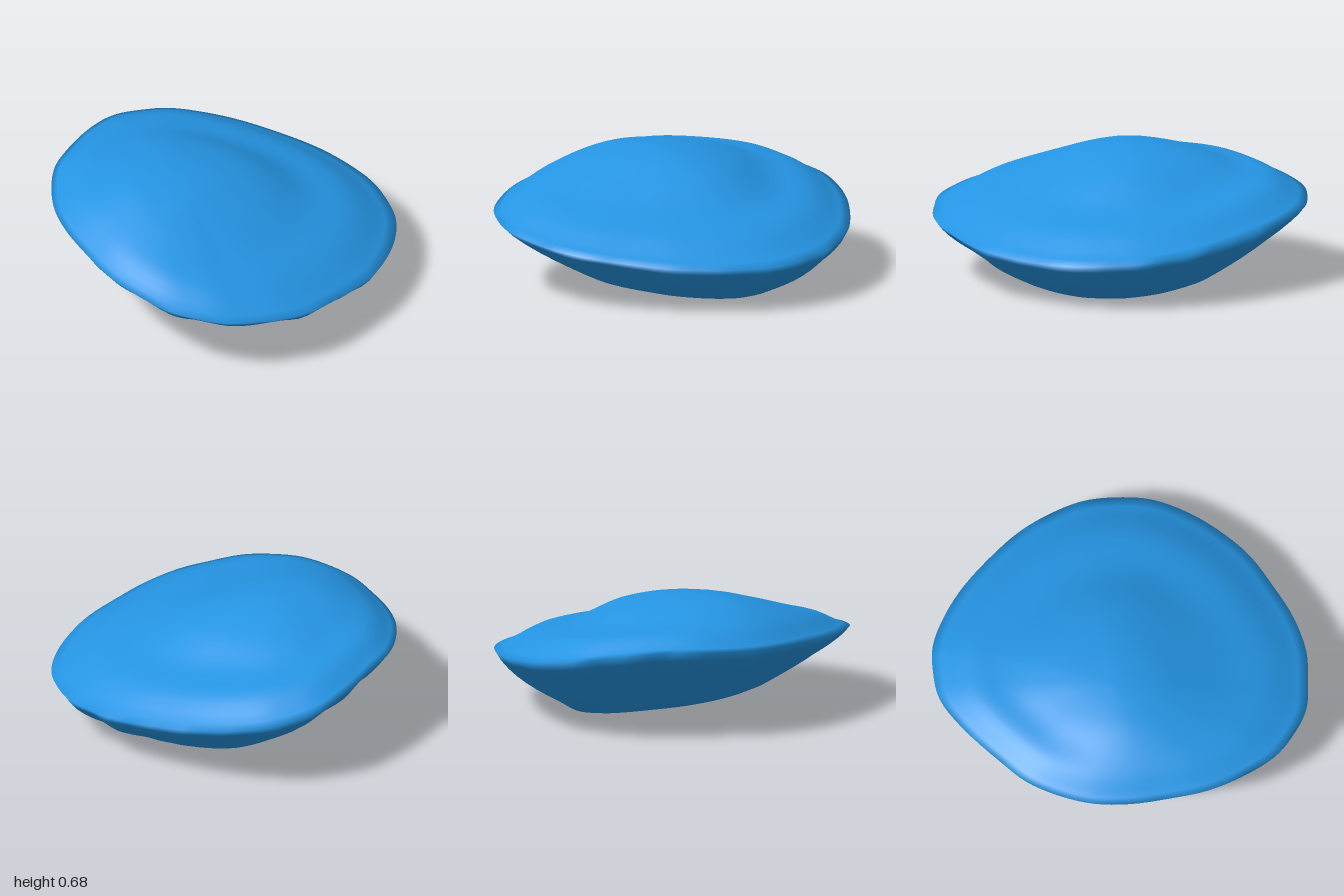
import * as THREE from 'three';

// rim outline seen from above (x, z), running from the left side through the front
const OUTLINE = [
  [0.92, 0.06], [0.9, 0.23], [0.84, 0.42], [0.71, 0.6], [0.54, 0.75], [0.38, 0.85], [0.17, 0.925],
  [-0.03, 0.98], [-0.24, 0.995], [-0.41, 0.96], [-0.59, 0.9], [-0.73, 0.78], [-0.82, 0.66],
  [-0.89, 0.46], [-0.925, 0.26], [-0.92, 0.04], [-0.9, -0.17], [-0.85, -0.36], [-0.76, -0.53],
  [-0.64, -0.68], [-0.5, -0.78], [-0.24, -0.93], [-0.04, -1.0], [0.13, -0.99], [0.28, -0.95],
  [0.44, -0.84], [0.58, -0.7], [0.73, -0.49], [0.83, -0.31], [0.89, -0.13],
];
const SEGMENTS = 120;
const PEAK = new THREE.Vector3(-0.27, 0.682, -0.1);
const { lerp } = THREE.MathUtils;

// fall of the top from peak (1) to rim (0), in even steps, for each direction
const profile = (...heights) =>
  new THREE.SplineCurve(heights.map((h, i) => new THREE.Vector2(i / (heights.length - 1), h)));
const LEFT = profile(1, 0.93, 0.77, 0.48, 0.31, 0);
const RIGHT = profile(1, 0.98, 0.91, 0.72, 0.43, 0);
const FRONT = profile(1, 0.91, 0.69, 0.47, 0.28, 0);
const BACK = profile(1, 0.95, 0.79, 0.56, 0.43, 0);

// tilted rim, slightly raised at the back right
const rimHeight = (x, z) => 0.367 - 0.107 * x - 0.075 * z
  + 0.035 * Math.exp(-((x + 0.45) ** 2 + (z + 0.8) ** 2) / 0.16);

// tilted flat underside, shifted towards the front; f = 1 is its edge
function basePoint(rim, f) {
  const x = 0.02 + rim.x * 0.58 * f;
  return [x, 0.066 - 0.12 * x, 0.07 + rim.z * 0.58 * f];
}

// domed top, blended between the four profiles
function topPoint(rim, t) {
  const dx = rim.x - PEAK.x, dz = rim.z - PEAK.z;
  const side = dx * dx / (dx * dx + dz * dz);
  const across = (dx > 0 ? LEFT : RIGHT).getPoint(t).y;
  const along = (dz > 0 ? FRONT : BACK).getPoint(t).y;
  return [
    lerp(PEAK.x, rim.x, t),
    lerp(rim.y, PEAK.y, lerp(along, across, side)),
    lerp(PEAK.z, rim.z, t),
  ];
}

// sloping flank from rim to underside, with shallow uneven flutes
function flankPoint(rim, s, angle) {
  const wave = Math.sin(angle * 13 + 2 * Math.sin(angle * 3)) + 0.6 * Math.sin(angle * 23 + 1);
  const bulge = Math.sin(Math.PI * s);
  const [x, y, z] = basePoint(rim, 1);
  const inward = s ** 1.2;
  const k = 1 + bulge * 0.016 * wave;
  return [
    lerp(rim.x, x, inward) * k,
    lerp(rim.y, y, s) - bulge * 0.02 * Math.max(0, rim.x),
    lerp(rim.z, z, inward) * k,
  ];
}

function stoneGeometry() {
  const curve = new THREE.CatmullRomCurve3(
    OUTLINE.map(([x, z]) => new THREE.Vector3(x, rimHeight(x, z), z)), true);
  const rims = Array.from({ length: SEGMENTS }, (_, j) => curve.getPoint(j / SEGMENTS));

  // rings from peak to rim, down the flank, then across the underside
  const rings = [];
  for (let i = 1; i <= 20; i++) rings.push((r) => topPoint(r, i / 20));
  for (let i = 1; i <= 8; i++) rings.push((r, a) => flankPoint(r, i / 8, a));
  for (const f of [0.85, 0.5, 0.25]) rings.push((r) => basePoint(r, f));

  const positions = [PEAK.x, PEAK.y, PEAK.z];
  for (const ring of rings) {
    rims.forEach((r) => positions.push(...ring(r, Math.atan2(r.z, r.x))));
  }
  positions.push(...basePoint(PEAK, 0));

  const index = [];
  const last = 1 + rings.length * SEGMENTS;
  const at = (i, j) => 1 + i * SEGMENTS + (j % SEGMENTS);
  for (let j = 0; j < SEGMENTS; j++) {
    index.push(0, at(0, j + 1), at(0, j));
    for (let i = 0; i < rings.length - 1; i++) {
      const a = at(i, j), b = at(i, j + 1), c = at(i + 1, j + 1), d = at(i + 1, j);
      index.push(a, b, c, a, c, d);
    }
    index.push(last, at(rings.length - 1, j), at(rings.length - 1, j + 1));
  }

  const geometry = new THREE.BufferGeometry();
  geometry.setAttribute('position', new THREE.Float32BufferAttribute(positions, 3));
  geometry.setIndex(index);
  geometry.computeVertexNormals();
  return geometry;
}

export function createModel() {
  const group = new THREE.Group();
  group.name = 'pebble';
  const stone = new THREE.Mesh(stoneGeometry(), new THREE.MeshStandardMaterial({ color: 0x2595e4 }));
  stone.name = 'stone';
  group.add(stone);
  return group;
}
